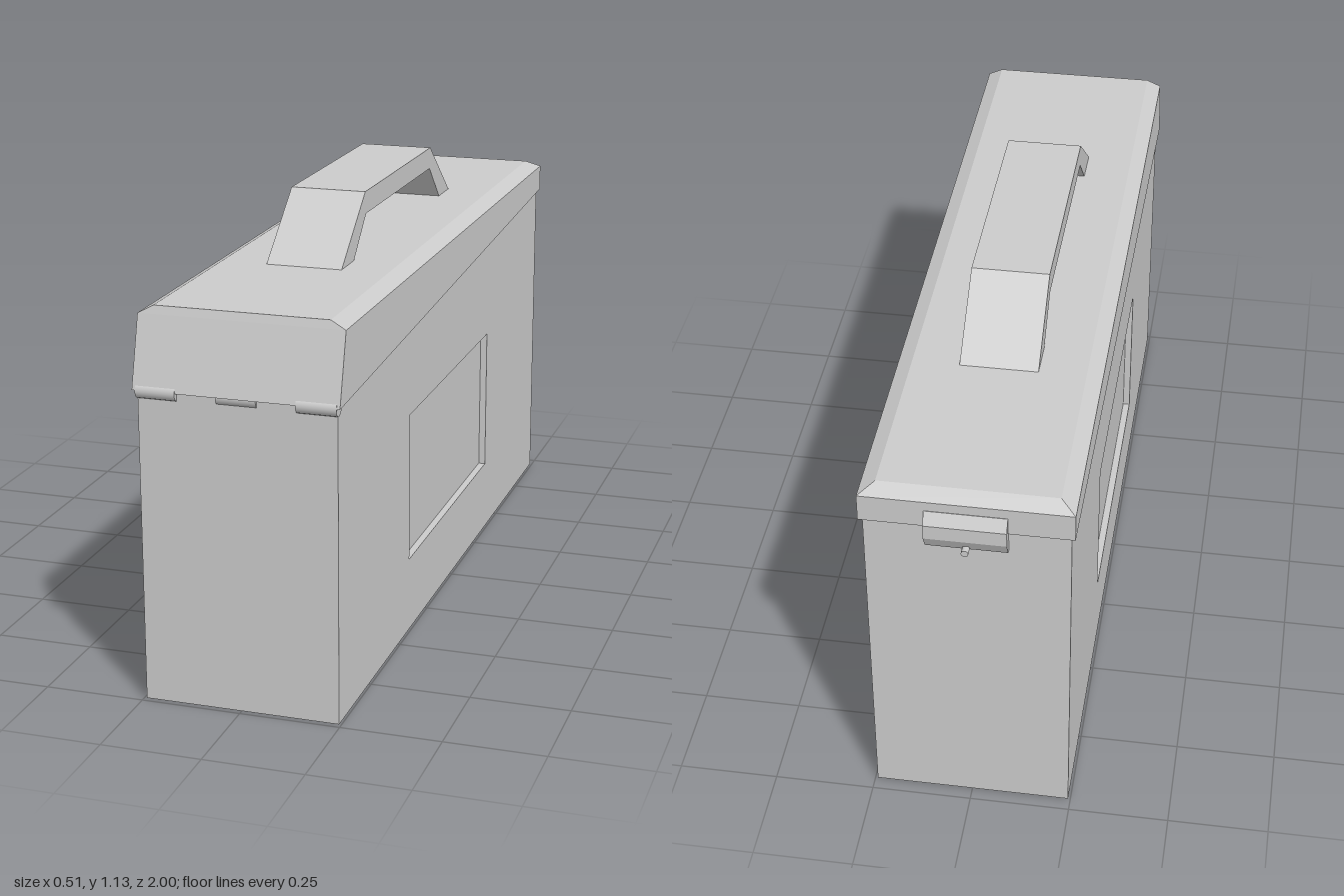
import * as THREE from 'three';

const material = new THREE.MeshStandardMaterial({ color: 0xcccccc, flatShading: true });
const smooth = new THREE.MeshStandardMaterial({ color: 0xcccccc });

// Extrude a side outline of [z, y] points across x, centred on x = 0.
function sideExtrude(points, width, hole) {
  const toVec = ([z, y]) => new THREE.Vector2(z, y);
  const shape = new THREE.Shape(points.map(toVec));
  if (hole) shape.holes.push(new THREE.Path(hole.map(toVec)));
  const geo = new THREE.ExtrudeGeometry(shape, { depth: width, bevelEnabled: false });
  return geo.translate(0, 0, -width / 2).rotateY(-Math.PI / 2);
}

// Closed solid through four-cornered rings, listed from bottom to top.
// Each ring: half width, front z and y, back z and y.
function ringSolid(rings) {
  const pos = [], index = [];
  for (const [w, zf, yf, zb, yb] of rings) {
    pos.push(-w, yf, zf, w, yf, zf, w, yb, zb, -w, yb, zb);
  }
  for (let r = 0; r < rings.length - 1; r++) {
    for (let i = 0; i < 4; i++) {
      const a = r * 4 + i, b = r * 4 + (i + 1) % 4;
      index.push(a, b, b + 4, a, b + 4, a + 4);
    }
  }
  const t = (rings.length - 1) * 4;
  index.push(0, 2, 1, 0, 3, 2, t, t + 1, t + 2, t, t + 2, t + 3);
  const geo = new THREE.BufferGeometry();
  geo.setAttribute('position', new THREE.Float32BufferAttribute(pos, 3));
  geo.setIndex(index);
  const flat = geo.toNonIndexed();
  flat.computeVertexNormals();
  return flat;
}

export function createModel() {
  const model = new THREE.Group();
  model.name = 'ammunitionBox';
  const add = (name, geo, parent = model, mat = material) => {
    const mesh = new THREE.Mesh(geo, mat);
    mesh.name = name;
    parent.add(mesh);
    return mesh;
  };

  // Body: a core between two side plates whose openings form the recessed panels
  const body = new THREE.Group();
  body.name = 'body';
  model.add(body);
  const halfWidth = 0.244, recess = 0.018;
  const outline = [[0.985, 0], [0.985, 0.79], [-0.965, 0.89], [-0.965, 0]];
  const panel = [[0.4, 0.195], [0.4, 0.585], [-0.38, 0.585], [-0.38, 0.195]];
  add('bodyCore', sideExtrude(outline, 2 * (halfWidth - recess)), body);
  for (const side of [-1, 1]) {
    const plate = add(side > 0 ? 'leftPlate' : 'rightPlate', sideExtrude(outline, recess, panel), body);
    plate.position.x = side * (halfWidth - recess / 2);
  }

  // Lid: slanted lower rim, sloping front, bevelled top edges
  add('lid', ringSolid([
    [0.253, 0.998, 0.782, -0.975, 0.884],
    [0.253, 0.951, 0.955, -0.975, 0.955],
    [0.215, 0.945, 0.975, -0.938, 0.975],
  ]));

  // Carrying handle
  add('handle', sideExtrude([
    [0.505, 0.974], [0.31, 1.13], [-0.29, 1.13], [-0.485, 0.974],
    [-0.385, 0.974], [-0.283, 1.073], [0.303, 1.073], [0.405, 0.974],
  ], 0.195));

  // Hinge knuckles along the front seam
  for (const x of [-0.196, 0, 0.196]) {
    const geo = new THREE.CylinderGeometry(0.02, 0.02, 0.098, 20).rotateZ(Math.PI / 2);
    const hinge = add('hinge', geo, model, smooth);
    hinge.position.set(x, 0.78, x === 0 ? 0.974 : 0.98);
  }

  // Latch on the back with its small lock pin
  const latch = new THREE.Group();
  latch.name = 'latch';
  model.add(latch);
  add('latchPlate', sideExtrude([
    [-0.96, 0.93], [-0.976, 0.93], [-0.994, 0.9], [-0.994, 0.862], [-0.975, 0.826], [-0.96, 0.826],
  ], 0.195), latch);
  const pin = add('latchPin', new THREE.CylinderGeometry(0.009, 0.009, 0.03, 12).rotateX(Math.PI / 2), latch, smooth);
  pin.position.set(0, 0.832, -0.985);

  return model;
}
